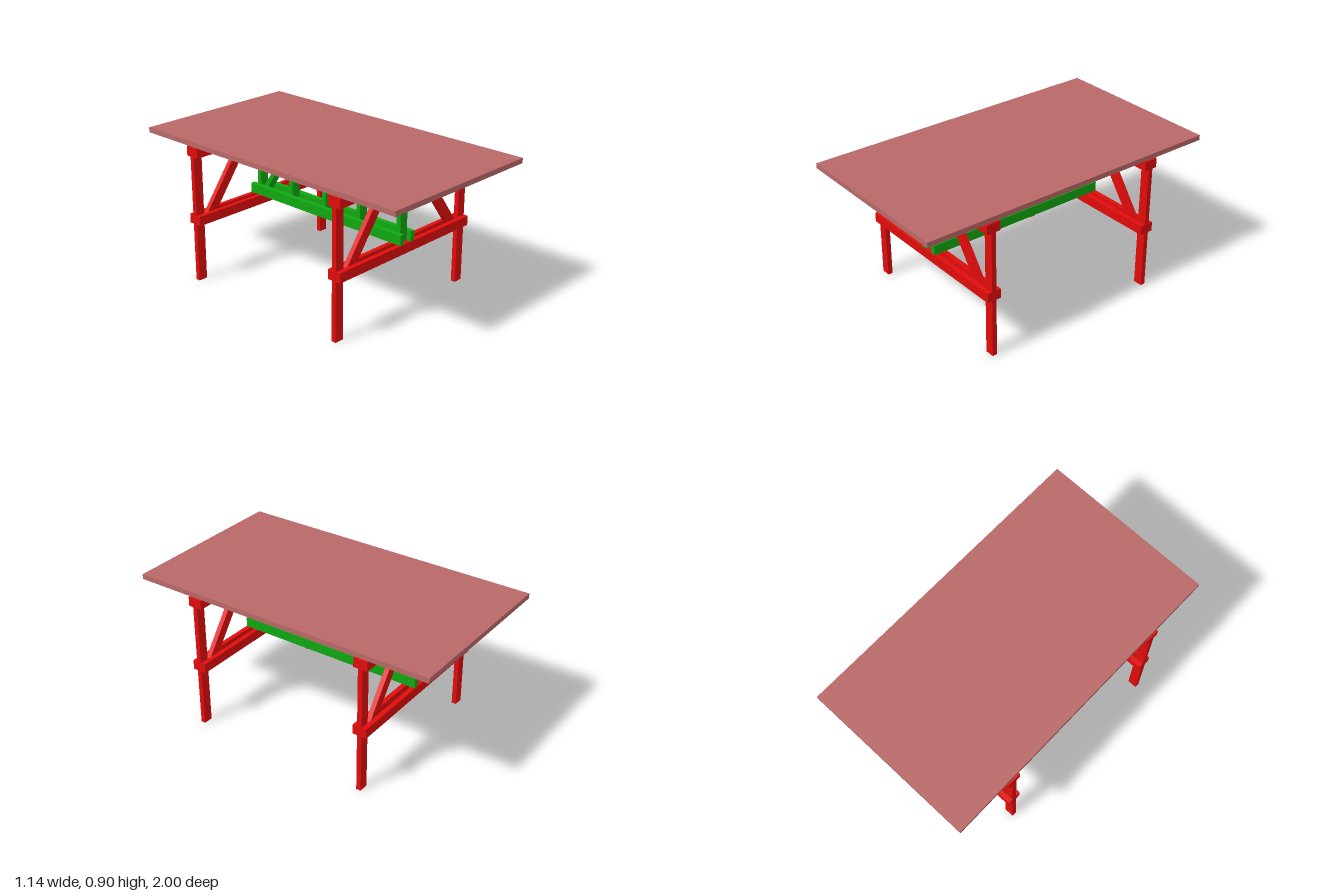
import * as THREE from 'three';

const red = new THREE.MeshStandardMaterial({ color: 0xe00c0c });
const green = new THREE.MeshStandardMaterial({ color: 0x10a810 });
const rose = new THREE.MeshStandardMaterial({ color: 0xb96868 });

// Box given by its lower and upper bounds on each axis
function beam(parent, name, material, [x0, x1], [y0, y1], [z0, z1]) {
  const mesh = new THREE.Mesh(new THREE.BoxGeometry(x1 - x0, y1 - y0, z1 - z0), material);
  mesh.position.set((x0 + x1) / 2, (y0 + y1) / 2, (z0 + z1) / 2);
  mesh.name = name;
  parent.add(mesh);
  return mesh;
}

// Slanted plank with level ends, drawn in the xy plane and centred on z
function brace(parent, name, material, [bottomX, y0], [topX, y1], width, depth) {
  const h = width / 2;
  const shape = new THREE.Shape([
    new THREE.Vector2(bottomX - h, y0), new THREE.Vector2(bottomX + h, y0),
    new THREE.Vector2(topX + h, y1), new THREE.Vector2(topX - h, y1),
  ]);
  const geometry = new THREE.ExtrudeGeometry(shape, { depth, bevelEnabled: false });
  geometry.translate(0, 0, -depth / 2);
  const mesh = new THREE.Mesh(geometry, material);
  mesh.name = name;
  parent.add(mesh);
  return mesh;
}

// Trestle: two legs and braces clamped between paired rails
function createTrestle() {
  const trestle = new THREE.Group();
  for (const s of [-1, 1]) {
    const side = s > 0 ? 'left' : 'right';
    beam(trestle, side + 'Leg', red, [s * 0.54 - 0.03, s * 0.54 + 0.03], [0, 0.87], [-0.015, 0.015]);
    brace(trestle, side + 'Brace', red, [s * 0.483, 0.375], [s * 0.119, 0.87], 0.076, 0.03);
    const z = [s * 0.03 - 0.015, s * 0.03 + 0.015];
    beam(trestle, 'upperRail', red, [-0.57, 0.57], [0.81, 0.87], z);
    beam(trestle, 'lowerRail', red, [-0.57, 0.57], [0.375, 0.435], z);
  }
  return trestle;
}

// Long truss joining the trestles: paired chords with posts between
function createTruss() {
  const truss = new THREE.Group();
  truss.name = 'centreTruss';
  for (const s of [-1, 1]) {
    const x = [s * 0.046 - 0.016, s * 0.046 + 0.016];
    beam(truss, 'upperChord', green, x, [0.717, 0.777], [-0.625, 0.625]);
    beam(truss, 'lowerChord', green, x, [0.435, 0.497], [-0.625, 0.625]);
    // End posts run on into the gap between the trestle rails
    beam(truss, 'endPost', green, [-0.03, 0.03], [0.375, 0.87], [s * 0.58 - 0.015, s * 0.58 + 0.015]);
  }
  for (const z of [0.27, -0.013, -0.296]) {
    beam(truss, 'innerPost', green, [-0.03, 0.03], [0.435, 0.777], [z - 0.015, z + 0.015]);
  }
  // Single diagonal at the back: turned so its x becomes -z
  const diagonal = brace(truss, 'diagonalBrace', green, [0.56, 0.435], [0.322, 0.777], 0.036, 0.06);
  diagonal.rotation.y = Math.PI / 2;
  return truss;
}

export function createModel() {
  const table = new THREE.Group();
  table.name = 'trestleTable';
  beam(table, 'tableTop', rose, [-0.56, 0.56], [0.87, 0.902], [-1, 1]);
  for (const s of [-1, 1]) {
    const trestle = createTrestle();
    trestle.name = s > 0 ? 'frontTrestle' : 'backTrestle';
    trestle.position.z = s * 0.582;
    table.add(trestle);
  }
  table.add(createTruss());
  return table;
}
